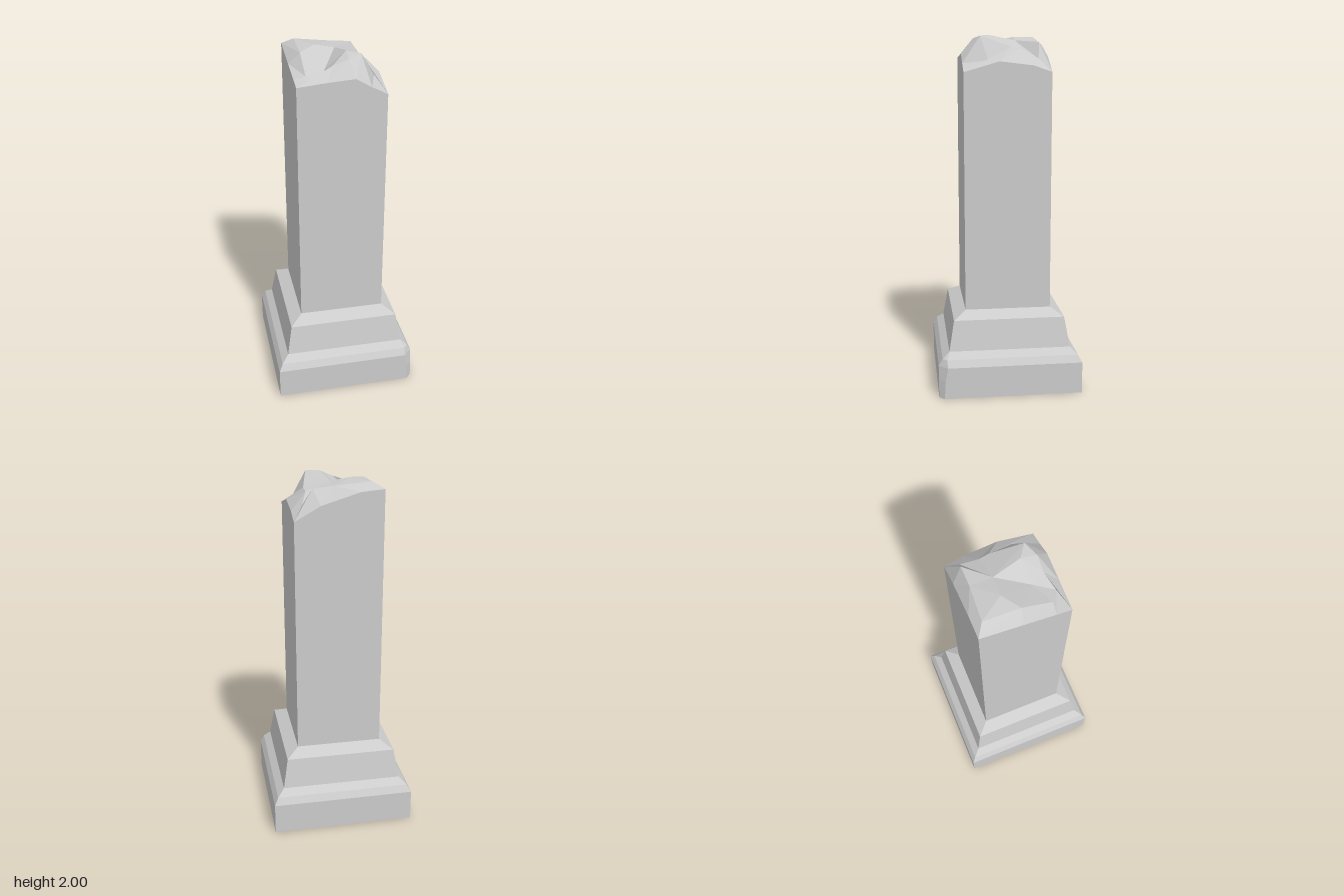
import * as THREE from 'three';

const material = new THREE.MeshStandardMaterial({ color: 0xcccccc, flatShading: true });

// Joins a stack of closed loops (counterclockwise from above), skipping collapsed triangles.
function loft(rings, extra = []) {
  const pos = [];
  const same = (a, b) => a.every((v, k) => v === b[k]);
  const tri = (a, b, c) => {
    if (!same(a, b) && !same(b, c) && !same(a, c)) pos.push(...a, ...b, ...c);
  };
  for (let r = 0; r < rings.length - 1; r++) {
    const lo = rings[r], hi = rings[r + 1], n = lo.length;
    for (let i = 0; i < n; i++) {
      const j = (i + 1) % n;
      tri(lo[i], lo[j], hi[j]);
      tri(lo[i], hi[j], hi[i]);
    }
  }
  extra.forEach(t => tri(...t));
  const g = new THREE.BufferGeometry();
  g.setAttribute('position', new THREE.Float32BufferAttribute(pos, 3));
  g.computeVertexNormals();
  return g;
}

// Triangles that fill a loop from its first point
const fan = loop => loop.slice(1, -1).map((p, i) => [loop[0], p, loop[i + 2]]);

function add(group, name, geometry) {
  const mesh = new THREE.Mesh(geometry, material);
  mesh.name = name;
  group.add(mesh);
}

export function createModel() {
  const group = new THREE.Group();
  group.name = 'brokenPillar';

  // Stepped square plinth: half width, height, size of the chip at the front left corner
  const profile = [
    [0.405, 0, 0.03], [0.405, 0.1, 0.036], [0.405, 0.18, 0.05], [0.383, 0.22, 0.025],
    [0.343, 0.255, 0], [0.314, 0.425, 0], [0.243, 0.465, 0],
  ];
  const steps = profile.map(([h, y, c]) =>
    [[-h, y, h], [h - c, y, h], [h, y, h - c], [h, y, -h], [-h, y, -h]]);
  add(group, 'plinth', loft(steps, fan([...steps[0]].reverse())));

  // Uneven rim where the shaft has snapped off
  const h = 0.243;
  const rim = [
    [-h, 1.87, h], [-0.08, 1.885, h], [0.07, 1.895, h], [0.155, 1.845, h],
    [h, 1.8, h], [h, 1.857, 0.045], [h, 1.835, -0.14], [h, 1.8, -h],
    [0.1, 1.88, -h], [-0.115, 1.945, -h], [-h, 1.955, -h], [-h, 1.915, -0.01], [-h, 1.885, 0.16],
  ];
  const foot = rim.map(([x, , z]) => [x, 0.465, z]);
  add(group, 'shaft', loft([foot, rim]));

  // Jagged broken top: a ring of crags around a hollow and a ridge
  const crags = [
    [-0.12, 1.88, 0.21], [-0.04, 1.95, 0.175], [0.045, 1.98, 0.175], [0.12, 1.995, 0.14],
    [0.2, 1.862, 0.105], [0.16, 1.935, -0.03], [0.155, 1.925, -0.085], [0.19, 1.87, -0.175],
    [0.135, 1.96, -0.185], [0.02, 1.97, -0.185], [-0.18, 1.99, -0.2], [-0.18, 1.975, 0], [-0.18, 1.9, 0.165],
  ];
  const hollow = [-0.065, 1.915, 0.105], peak = [0.05, 2, 0.09];
  const saddle = [0.02, 1.97, -0.065], knob = [-0.09, 1.99, -0.07];
  const shoulder = crags[3], ledge = crags[5];
  const inner = [
    hollow, hollow, peak, shoulder, shoulder, ledge, saddle,
    saddle, saddle, saddle, knob, knob, hollow,
  ];
  const core = fan([saddle, knob, hollow, peak, shoulder, ledge]);
  add(group, 'brokenTop', loft([rim, crags, inner], core));

  return group;
}
